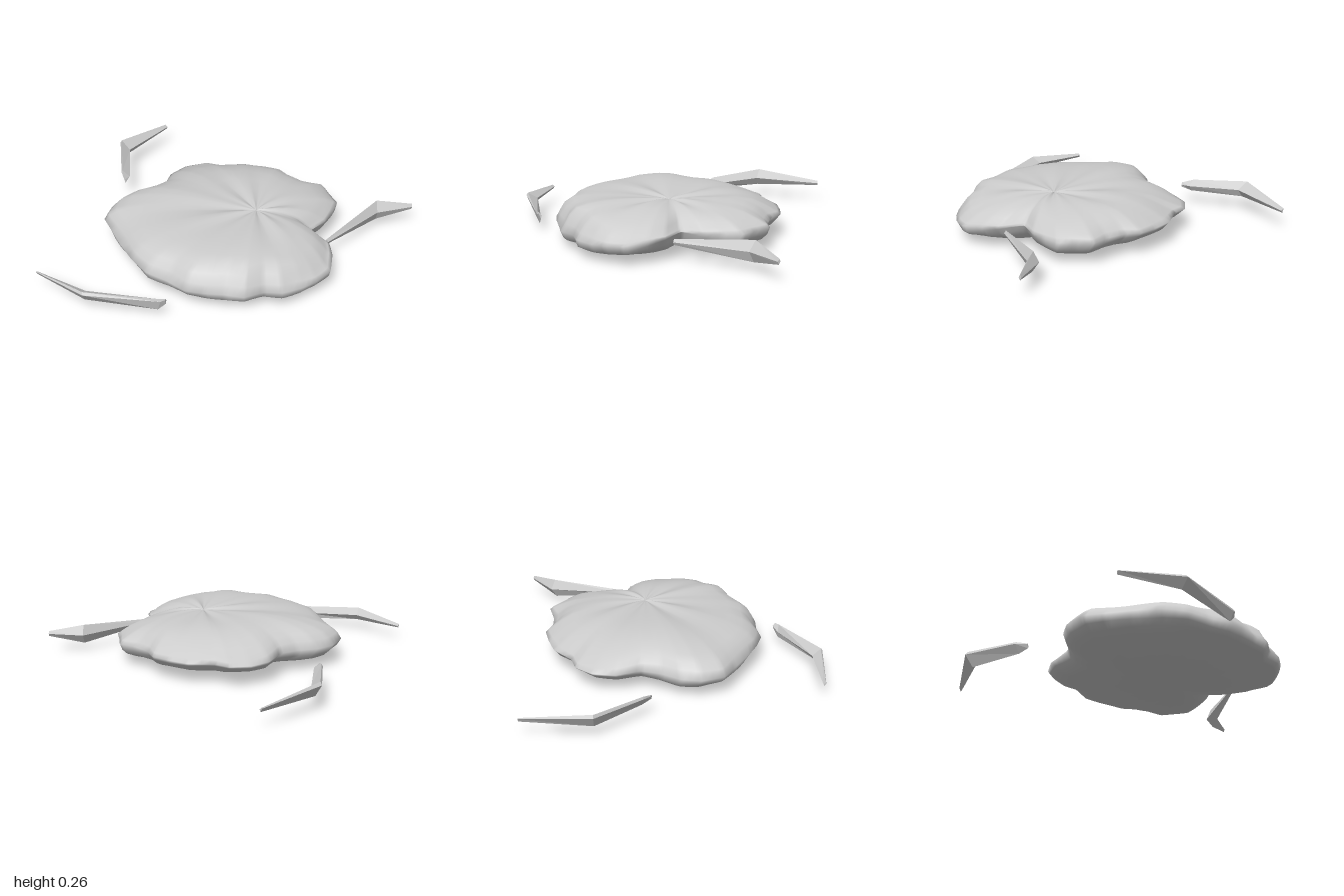
import * as THREE from 'three';

const material = new THREE.MeshStandardMaterial({ color: 0xcccccc, side: THREE.DoubleSide });
const { lerp, smoothstep, clamp } = THREE.MathUtils;

// Skin a list of equally sized rings of [x, y, z] points
function loft(rings, flat) {
  const n = rings[0].length, index = [];
  for (let i = 0; i < rings.length - 1; i++) {
    for (let k = 0; k < n; k++) {
      const a = i * n + k, b = i * n + (k + 1) % n;
      index.push(a, a + n, b, b, a + n, b + n);
    }
  }
  const indexed = new THREE.BufferGeometry();
  indexed.setAttribute('position', new THREE.Float32BufferAttribute(rings.flat(2), 3));
  indexed.setIndex(index);
  const geometry = flat ? indexed.toNonIndexed() : indexed;
  geometry.computeVertexNormals();
  return geometry;
}

// Lobed plan outline of the blob, as x, z pairs
const outline = [
  [0.595, 0.13], [0.55, 0.22], [0.5, 0.3], [0.41, 0.38], [0.48, 0.5], [0.48, 0.6],
  [0.45, 0.71], [0.37, 0.78], [0.29, 0.82], [0.19, 0.85], [0.1, 0.835], [0, 0.865],
  [-0.09, 0.835], [-0.19, 0.815], [-0.28, 0.785], [-0.36, 0.71], [-0.46, 0.64], [-0.53, 0.53],
  [-0.58, 0.4], [-0.62, 0.27], [-0.655, 0.16], [-0.61, 0.04], [-0.53, -0.03], [-0.42, -0.07],
  [-0.33, -0.13], [-0.28, -0.26], [-0.19, -0.34], [-0.08, -0.365], [0, -0.33], [0.14, -0.335],
  [0.25, -0.29], [0.34, -0.24], [0.38, -0.16], [0.46, -0.09], [0.55, -0.05], [0.57, 0.04],
];

// Section from the pucker on top, over the rim, to the underside: reach, height
const section = [
  [0, 0.228], [0.05, 0.233], [0.15, 0.237], [0.3, 0.24], [0.45, 0.241], [0.6, 0.238],
  [0.74, 0.23], [0.85, 0.214], [0.92, 0.195], [0.97, 0.165], [1, 0.13], [0.985, 0.092],
  [0.94, 0.065], [0.85, 0.044], [0.7, 0.027], [0.5, 0.013], [0.25, 0.004], [0, 0.001],
];

function blob() {
  const cx = 0.13, cz = 0.31, rim = 10;
  const path = new THREE.CatmullRomCurve3(
    outline.map(([x, z]) => new THREE.Vector3(x, 0, z)).reverse(), true, 'catmullrom', 0.1);
  const points = Array.from({ length: 144 }, (_, i) => path.getPoint(i / 144));
  const rings = section.map(([s, h], row) => points.map((p) => {
    const dx = p.x - cx, dz = p.z - cz, angle = Math.atan2(dz, dx);
    // Ragged rim
    const ragged = s > 0.8 && row !== rim ? 1 + 0.01 * (Math.sin(angle * 11 + row) - 1) : 1;
    const x = cx + dx * s * ragged, z = cz + dz * s * ragged;
    const notch = Math.exp(-(((angle - 0.28) / 0.4) ** 2));
    let y = h;
    if (row < rim) {
      // Uneven folds around the pucker, flattening towards the rim
      const fold = Math.sin(angle * 7 + 2 * s) * 0.004 + Math.sin(angle * 11 + 1) * 0.003;
      y += fold * Math.sin(Math.PI * Math.sqrt(s));
      // Valley out to the notch, slumps on the +x side, front left and back, swell on the -x side
      const slump = 0.03 * notch * s + 0.035 * smoothstep(x, 0.2, 0.55)
        + 0.03 * smoothstep(x, 0.05, 0.35) * smoothstep(z, 0.4, 0.7)
        + 0.04 * smoothstep(-z, 0.02, 0.35);
      y -= slump * clamp((h - 0.13) / 0.07, 0, 1);
      y += 0.016 * Math.exp(-((x + 0.25) ** 2 + (z - 0.1) ** 2) / 0.05);
    } else if (row > rim) {
      // Underside rises at the notch and towards the back
      y += 0.035 * notch * s * s + 0.07 * Math.max(0, -z);
    }
    // Rim sags at the front
    y -= 0.035 * smoothstep(z, 0.5, 0.85) * smoothstep(s, 0.85, 1);
    return [x, y, z];
  }));
  return loft(rings, false);
}

// Bent sliver; each station is outer x, z, inner x, z, top, bottom.
// Ridge places the top edge between the outer side (0) and the inner side (1),
// brow the outer edge between the bottom (0) and the top (1).
function sliver(ridge, brow, stations) {
  const rings = stations.map(([ox, oz, ix, iz, top, bottom]) => [
    [ox, lerp(bottom, top, brow), oz], [lerp(ox, ix, ridge), top, lerp(oz, iz, ridge)],
    [ix, (top + bottom) / 2, iz], [lerp(ox, ix, 0.6), bottom, lerp(oz, iz, 0.6)],
  ]);
  // Close both blunt ends on their middles
  const cap = (ring) => {
    const c = [0, 1, 2].map((i) => ring.reduce((sum, p) => sum + p[i] / 4, 0));
    return [c, c, c, c];
  };
  return loft([cap(rings[0]), ...rings, cap(rings[rings.length - 1])], true);
}

export function createModel() {
  const group = new THREE.Group();
  const add = (name, geometry) => {
    const mesh = new THREE.Mesh(geometry, material);
    mesh.name = name;
    group.add(mesh);
  };

  add('blob', blob());
  add('leftSliver', sliver(0.45, 0.5, [
    [1, 0.16, 1, 0.175, 0.12, 0.09],
    [0.8, 0.148, 0.8, 0.212, 0.16, 0.05],
    [0.475, 0.445, 0.485, 0.46, 0.12, 0.09],
  ]));
  add('backSliver', sliver(0.15, 0.8, [
    [-0.275, -0.875, -0.262, -0.865, 0.12, 0.095],
    [-0.552, -0.63, -0.5, -0.58, 0.165, 0.08],
    [-0.555, -0.31, -0.51, -0.29, 0.145, 0.085],
    [-0.54, -0.24, -0.53, -0.24, 0.125, 0.1],
  ]));
  add('rightSliver', sliver(0.15, 0.8, [
    [-1, 0.552, -0.99, 0.542, 0.1, 0.08],
    [-0.77, 0.79, -0.755, 0.728, 0.125, 0.06],
    [-0.4, 0.852, -0.42, 0.825, 0.105, 0.035],
    [-0.378, 0.85, -0.37, 0.836, 0.105, 0.07],
  ]));
  return group;
}
